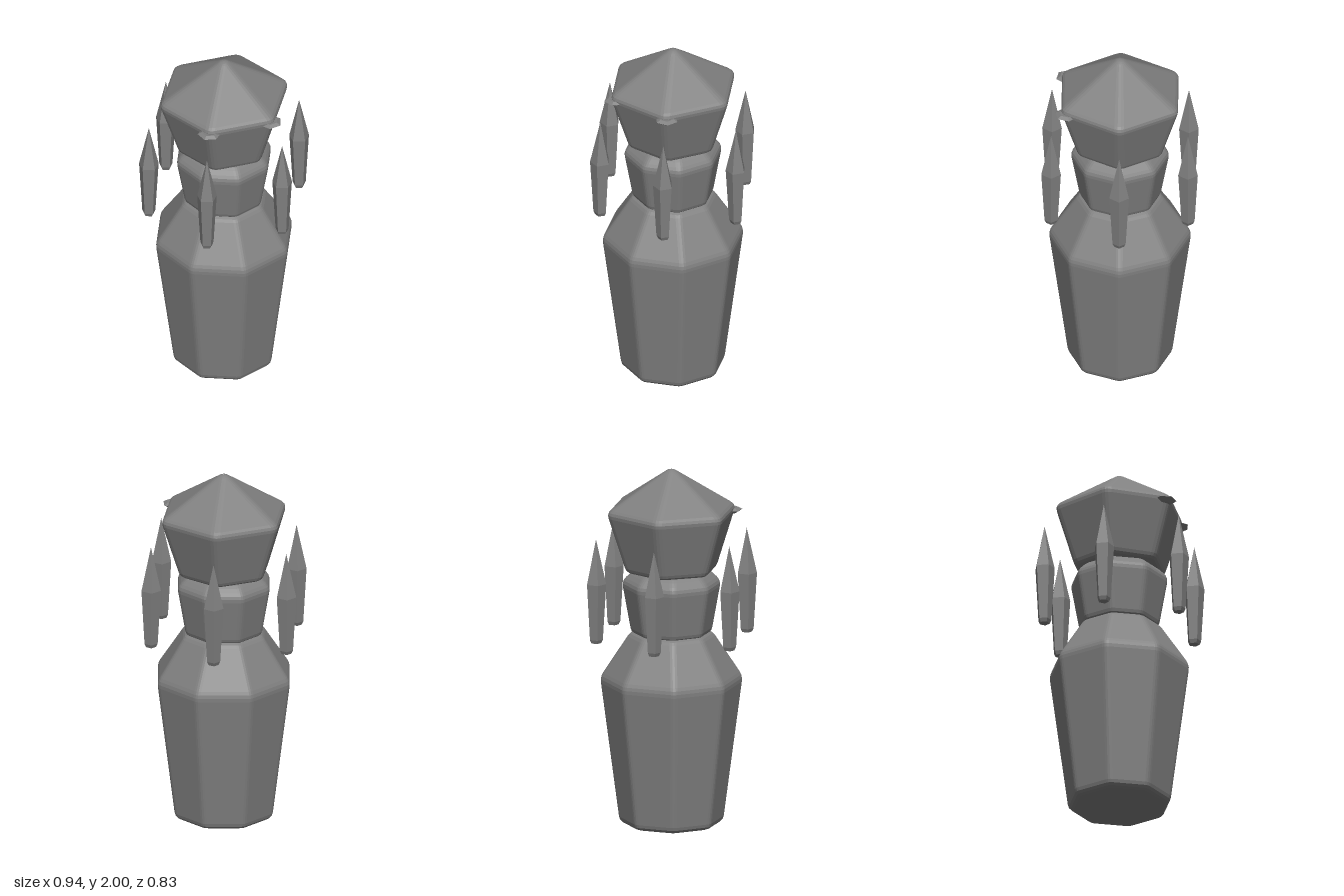
import * as THREE from 'three';

// Replace each corner of a 2D point list with a small curve
function roundCorners(pts, cut, closed, steps = 3) {
  if (cut === 0) return pts;
  const out = [], n = pts.length;
  pts.forEach((p, i) => {
    if (!closed && (i === 0 || i === n - 1)) { out.push(p); return; }
    const prev = pts[(i + n - 1) % n], next = pts[(i + 1) % n];
    const a = p.clone().lerp(prev, Math.min(0.4, cut / p.distanceTo(prev)));
    const b = p.clone().lerp(next, Math.min(0.4, cut / p.distanceTo(next)));
    out.push(...new THREE.QuadraticBezierCurve(a, p, b).getPoints(steps));
  });
  return out;
}

// Faceted solid: a polygon with softened corners swept up a [radius, y] profile
function facetedSolid(profile, sides, cut, edgeCut = cut) {
  const rows = roundCorners(profile.map(([r, y]) => new THREE.Vector2(r, y)), cut, false);
  const positions = [], index = [];
  let count = 0;
  for (const row of rows) {
    const r = Math.max(row.x, 1e-4), corners = [];
    for (let k = 0; k < sides; k++) {
      const a = k / sides * Math.PI * 2;
      corners.push(new THREE.Vector2(Math.cos(a) * r, Math.sin(a) * r));
    }
    const ring = roundCorners(corners, edgeCut, true);
    count = ring.length;
    ring.forEach(p => positions.push(p.x, row.y, p.y));
  }
  for (let i = 0; i < rows.length - 1; i++) {
    for (let j = 0; j < count; j++) {
      const a = i * count + j, b = i * count + (j + 1) % count;
      index.push(a, a + count, b, b, a + count, b + count);
    }
  }
  const geo = new THREE.BufferGeometry();
  geo.setAttribute('position', new THREE.Float32BufferAttribute(positions, 3));
  geo.setIndex(index);
  const flat = geo.toNonIndexed();
  flat.computeVertexNormals();
  return flat;
}

export function createModel() {
  const model = new THREE.Group();
  model.name = 'stoneGuardian';
  const stone = new THREE.MeshStandardMaterial({ color: 0x808080 });
  stone.name = 'grey stone';
  const cx = -0.004;

  const add = (name, geo, x = 0, y = 0, z = 0) => {
    const mesh = new THREE.Mesh(geo, stone);
    mesh.name = name;
    mesh.position.set(cx + x, y, z);
    model.add(mesh);
    return mesh;
  };

  // Eight-sided lower body with a shallow pointed base
  add('body', facetedSolid(
    [[0, 0.005], [0.28, 0.065], [0.384, 0.86], [0.22, 1.11], [0, 1.11]], 8, 0.03, 0.02));

  // Eight-sided chest flaring up to a bevelled shoulder
  add('chest', facetedSolid(
    [[0, 1.1], [0.217, 1.1], [0.268, 1.385], [0.205, 1.447], [0, 1.447]], 8, 0.03, 0.02));

  // Six-sided head with a pyramid crown
  add('head', facetedSolid(
    [[0, 1.44], [0.255, 1.443], [0.366, 1.78], [0.025, 1.996], [0, 2.0]], 6, 0.03));

  // Flat gem eyes set in the two front corners of the head
  const eyeGeo = facetedSolid(
    [[0, -0.018], [0.032, -0.015], [0.063, 0.004], [0.042, 0.016], [0, 0.012]], 6, 0);
  for (const side of [1, -1]) {
    const eye = add(side > 0 ? 'leftEye' : 'rightEye', eyeGeo, side * 0.17, 1.752, 0.282);
    eye.rotation.y = side * 0.2;
  }

  // Ring of six floating five-sided shards
  const shardGeo = facetedSolid(
    [[0, 1.07], [0.028, 1.075], [0.037, 1.095], [0.055, 1.4], [0, 1.645]], 5, 0);
  for (let i = 0; i < 6; i++) {
    const a = i / 6 * Math.PI * 2;
    add('shard' + (i + 1), shardGeo, Math.cos(a) * 0.42, 0, Math.sin(a) * 0.365 / 0.866);
  }
  return model;
}
